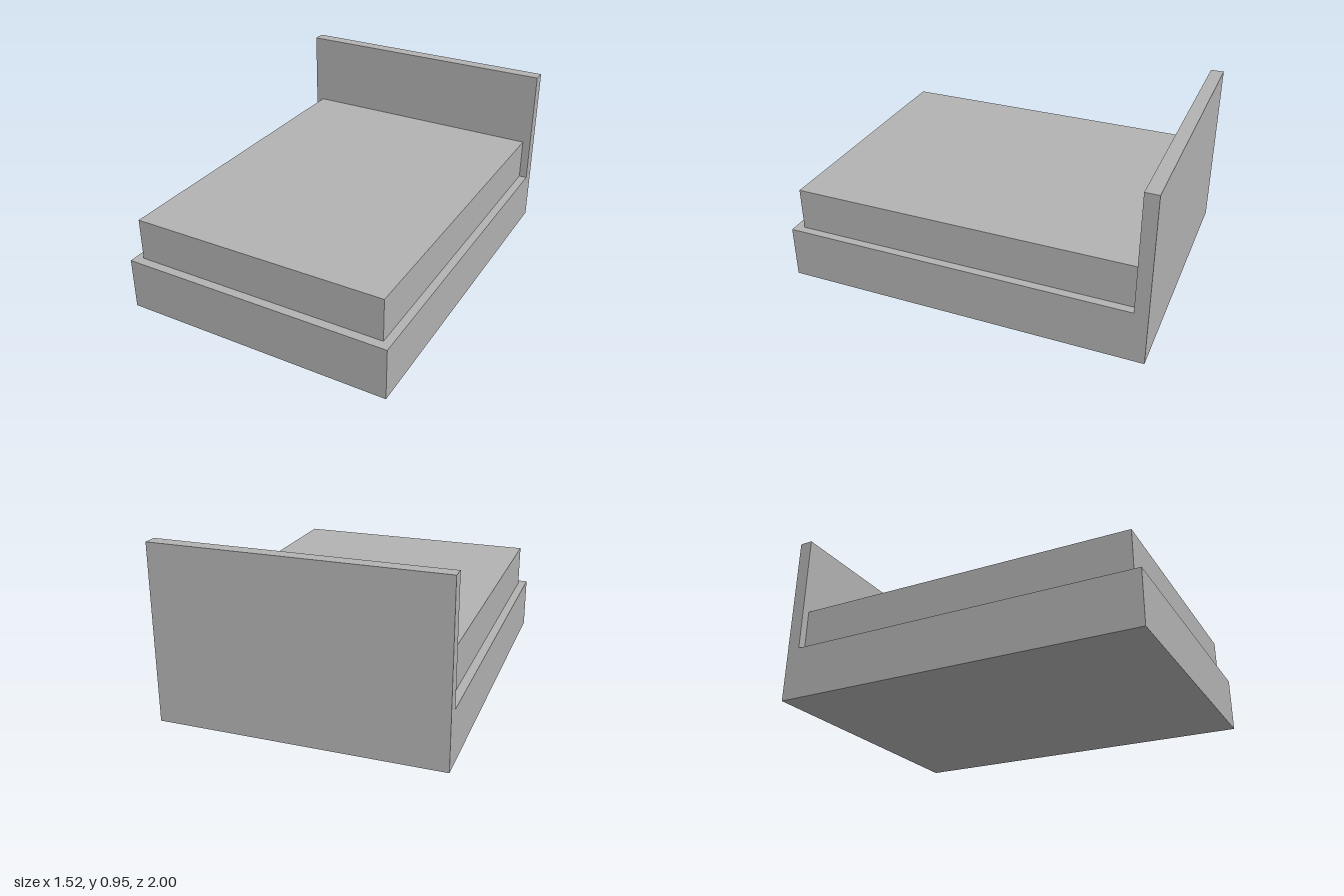
import * as THREE from 'three';

const WIDTH = 1.52;

export function createModel() {
  const bed = new THREE.Group();
  bed.name = 'bed';
  const grey = new THREE.MeshStandardMaterial({ color: 0xb2b2b2 });
  grey.name = 'grey';

  // Base and headboard: one L-shaped side profile (z, y) swept across the width
  const profile = new THREE.Shape([
    [-1, 0], [1, 0], [1, 0.29], [-0.927, 0.29], [-0.927, 0.953], [-1, 0.953],
  ].map(([z, y]) => new THREE.Vector2(z, y)));
  const frameGeometry = new THREE.ExtrudeGeometry(profile, { depth: WIDTH, bevelEnabled: false });
  frameGeometry.rotateY(-Math.PI / 2).translate(WIDTH / 2, 0, 0);
  const frame = new THREE.Mesh(frameGeometry, grey);
  frame.name = 'baseAndHeadboard';
  bed.add(frame);

  // Mattress: rests on the base and meets the headboard
  const back = -0.927, front = 0.95, bottom = 0.29, top = 0.525;
  const mattress = new THREE.Mesh(new THREE.BoxGeometry(1.43, top - bottom, front - back), grey);
  mattress.name = 'mattress';
  mattress.position.set(0, (top + bottom) / 2, (front + back) / 2);
  bed.add(mattress);

  return bed;
}
